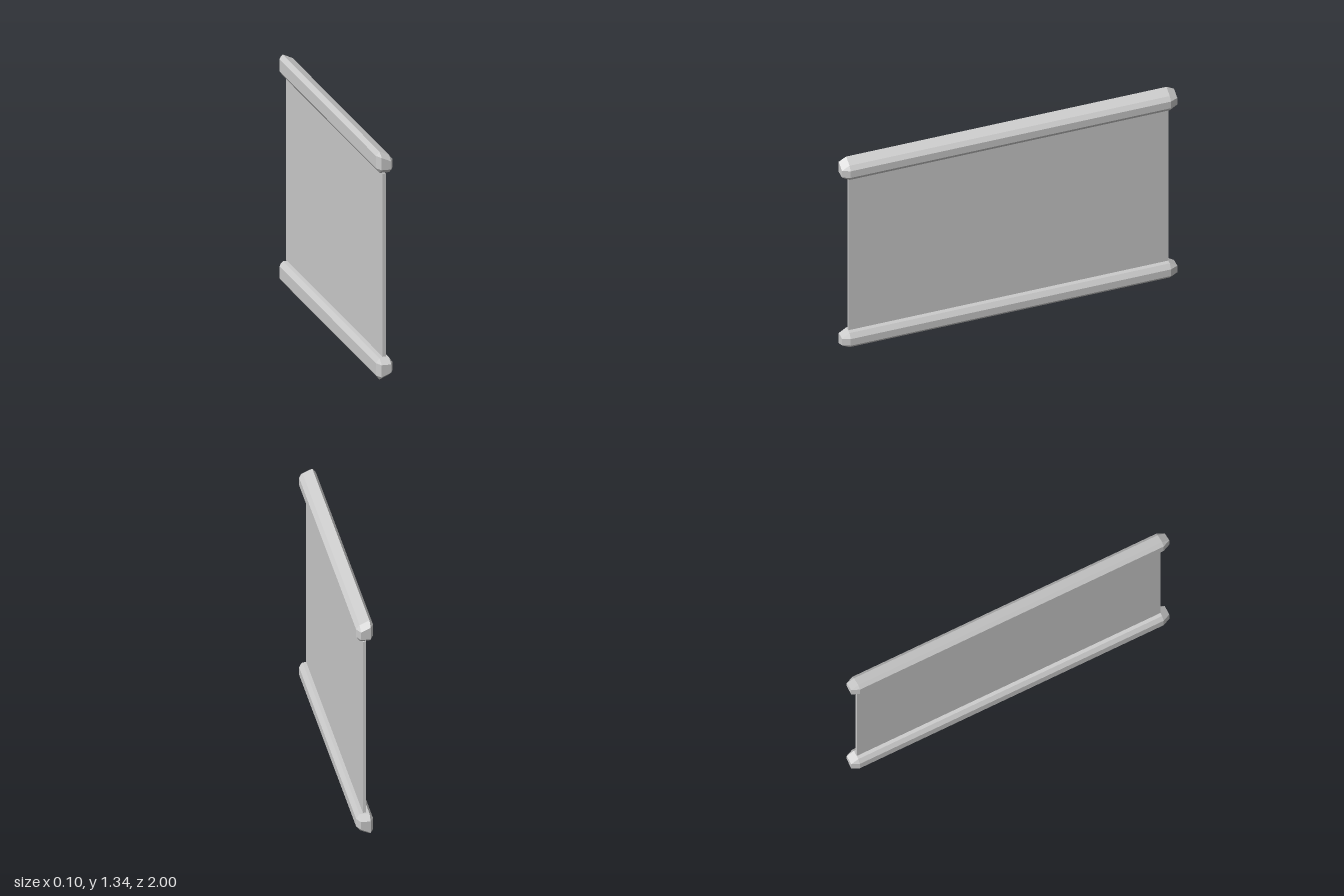
import * as THREE from 'three';
import { ConvexGeometry } from 'three/addons/geometries/ConvexGeometry.js';

const HEIGHT = 1.342;

// Chamfered bar along z with a sloping outer face; flip = true hangs it upside down at the bottom
function makeRail(name, flip, material) {
  const points = [];
  const add = (x, y, z) => points.push(new THREE.Vector3(x, flip ? HEIGHT - y : y, z));
  for (const sx of [-1, 1]) {
    const slope = sx > 0 ? 0.025 : 0; // the outer face drops towards +x
    // [height of the horizontal face, height where the side and end faces stop]
    for (const [faceY, sideY] of [[HEIGHT - slope, HEIGHT - 0.025 - slope], [1.216, 1.245]]) {
      for (const sz of [-1, 1]) {
        add(sx * 0.028, faceY, sz * 0.955); // top or bottom face
        add(sx * 0.048, sideY, sz * 0.955); // side face
        add(sx * 0.028, sideY, sz); // end face
      }
    }
  }
  const rail = new THREE.Mesh(new ConvexGeometry(points), material);
  rail.name = name;
  return rail;
}

export function createModel() {
  const group = new THREE.Group();
  group.name = 'railedPanel';
  const material = new THREE.MeshStandardMaterial({ color: 0xcccccc, flatShading: true });

  // Thin sheet floating just clear of both rails
  const panel = new THREE.Mesh(new THREE.BoxGeometry(0.018, 1.078, 1.91), material);
  panel.name = 'panel';
  panel.position.y = HEIGHT / 2;

  group.add(panel, makeRail('topRail', false, material), makeRail('bottomRail', true, material));
  return group;
}
